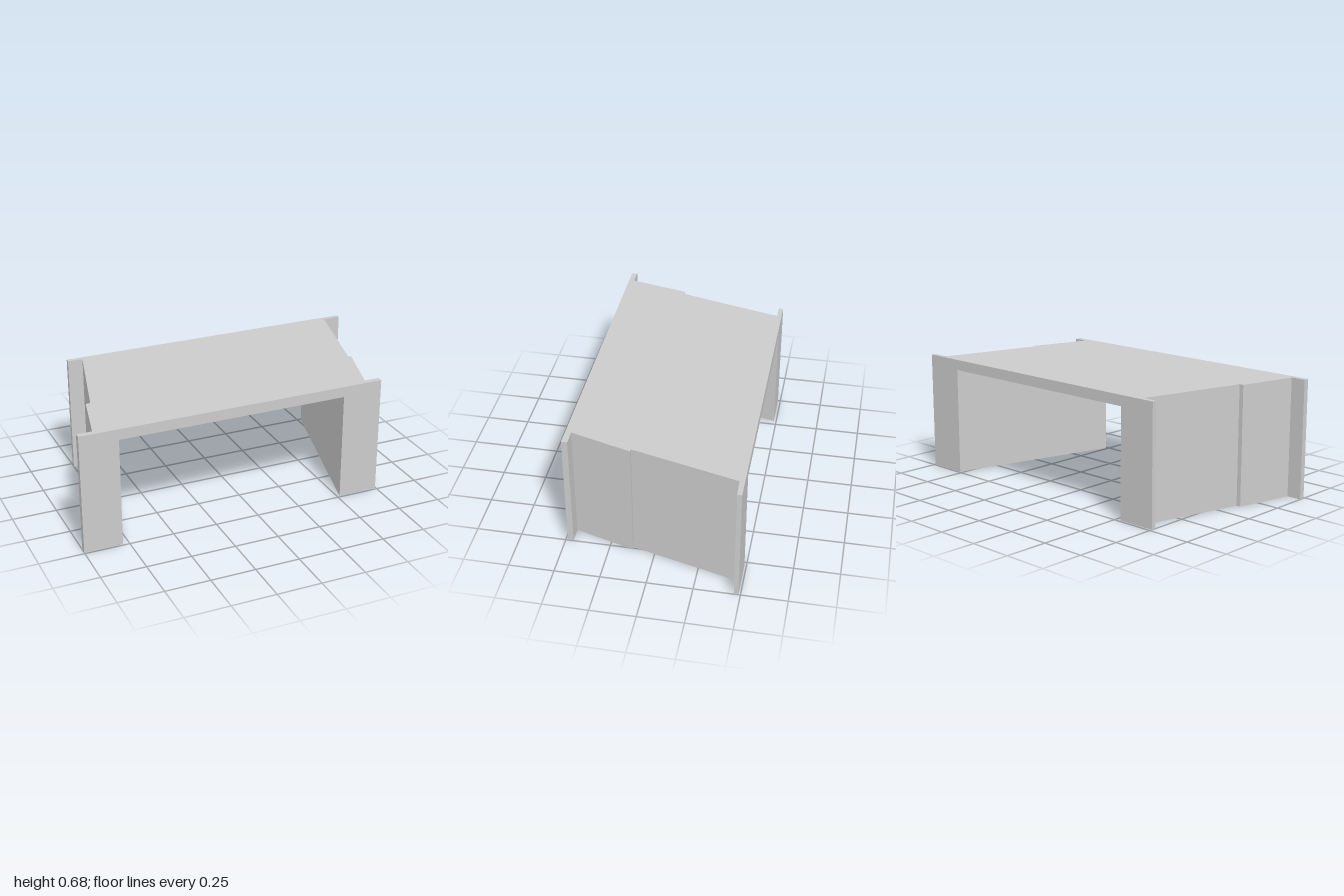
import * as THREE from 'three';

// Plan outlines of the two sides as [x, z], running front to back
const leftSide = [[0.745, 0.49], [0.745, 0.457], [0.66, 0.457], [0.76, 0.122], [0.742, 0.122],
  [0.895, -0.462], [1, -0.465], [1, -0.49]];
const rightSide = [[-1, 0.49], [-1, 0.458], [-0.915, 0.458], [-0.84, 0.13], [-0.815, 0.13],
  [-0.665, -0.458], [-0.75, -0.46], [-0.75, -0.485]];

// Skewed inner faces of the passage, back to front
const leftInner = [[0.77, -0.489], [0.515, 0.49]];
const rightInner = [[-0.532, -0.486], [-0.785, 0.49]];

const height = 0.675, soffit = 0.615;

export function createModel() {
  const group = new THREE.Group();
  const material = new THREE.MeshStandardMaterial({ color: 0xcccccc, flatShading: true });

  // Raise a plan outline from y0 to y1
  function addPrism(name, plan, y0, y1) {
    const shape = new THREE.Shape(plan.map(([x, z]) => new THREE.Vector2(x, -z)));
    const geometry = new THREE.ExtrudeGeometry(shape, { depth: y1 - y0, bevelEnabled: false });
    geometry.rotateX(-Math.PI / 2).translate(0, y0, 0);
    const mesh = new THREE.Mesh(geometry, material);
    mesh.name = name;
    group.add(mesh);
  }

  // Side walls with end flanges and a small step
  addPrism('leftWall', [...leftSide, ...leftInner], 0, soffit);
  addPrism('rightWall', [...rightSide, ...rightInner], 0, soffit);

  // Deck spanning both walls
  addPrism('deck', [...leftSide, ...[...rightSide].reverse()], soffit, height);

  return group;
}
